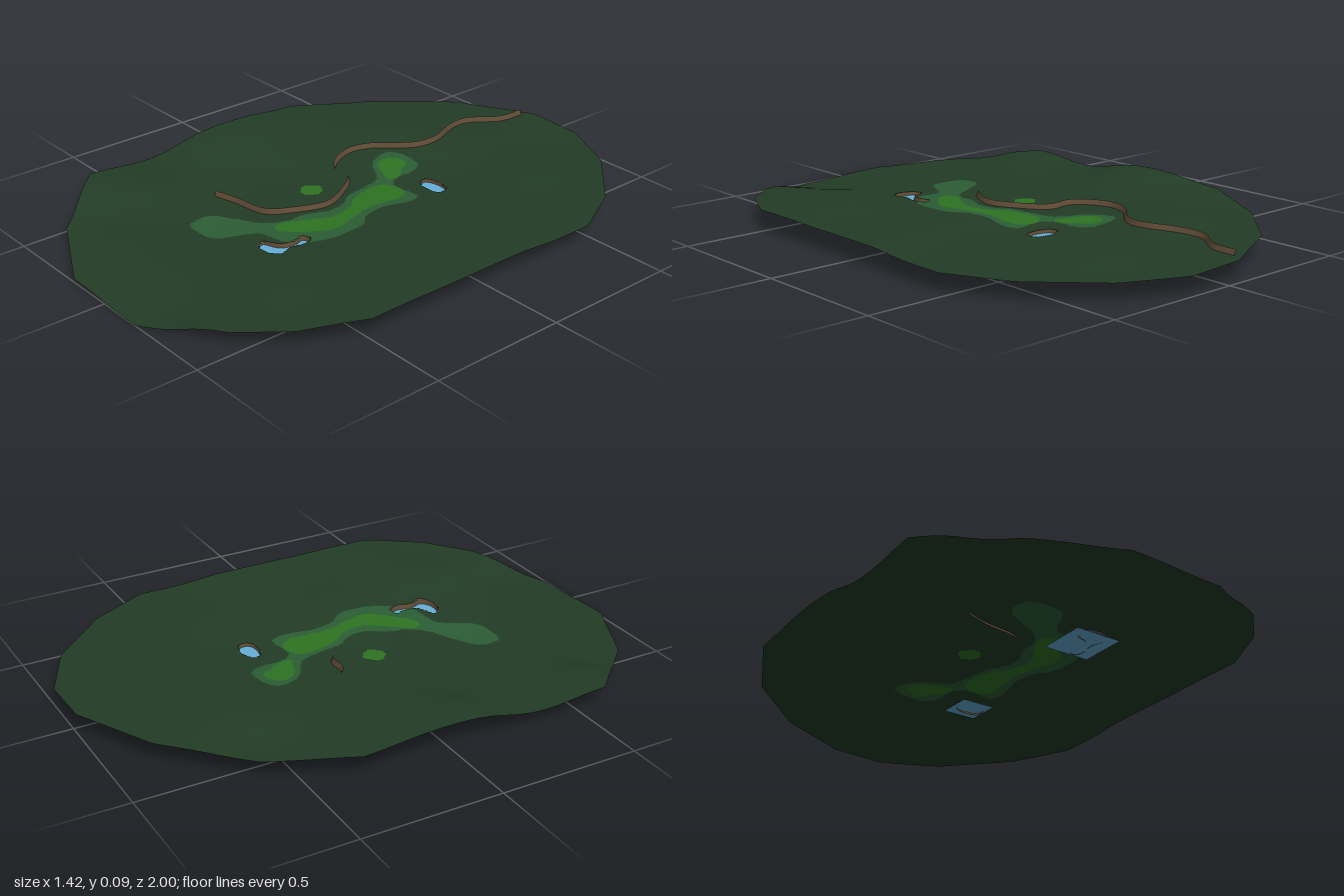
import * as THREE from 'three';

const material = (name, color, side = THREE.FrontSide) => {
  const m = new THREE.MeshStandardMaterial({ color, side });
  m.name = name;
  return m;
};

// Terrain outline: [z, x] chains down the left and right of the plan
const WEST = [[-1, -0.04], [-0.855, -0.325], [-0.61, -0.57], [-0.325, -0.715], [0.6, -0.715], [0.85, -0.47], [1, -0.18]];
const EAST = [[-1, 0.17], [-0.895, 0.39], [-0.68, 0.6], [-0.465, 0.71], [0.5, 0.71], [0.71, 0.6], [0.85, 0.46], [1, 0.17]];

// Control heights [x, z, y], blended smoothly
const HEIGHTS = [
  [-0.04, -1, 0.078], [0.17, -1, 0.066], [0.39, -0.895, 0.066], [0.6, -0.68, 0.065], [0.71, -0.465, 0.067],
  [0.71, 0, 0.08], [0.71, 0.5, 0.082], [0.6, 0.71, 0.068], [0.46, 0.85, 0.05], [0.17, 1, 0], [-0.18, 1, 0.015],
  [-0.47, 0.85, 0.032], [-0.715, 0.6, 0.073], [-0.715, 0.33, 0.045], [-0.715, 0.08, 0.1], [-0.715, -0.06, 0.1],
  [-0.715, -0.325, 0.075], [-0.57, -0.61, 0.065], [-0.325, -0.855, 0.075],
  [-0.17, -0.7, 0.07], [-0.2, -0.5, 0.085], [0.2, -0.6, 0.07], [0.45, -0.35, 0.065], [-0.25, -0.2, 0.066],
  [-0.08, -0.3, 0.055], [0.13, -0.3, 0.05], [0.1, 0, 0.062], [-0.12, 0.06, 0.055], [-0.45, -0.15, 0.075],
  [-0.45, 0.3, 0.055], [-0.3, 0.33, 0.045], [-0.15, 0.47, 0.04], [0.13, 0.42, 0.052], [0.33, 0.5, 0.078],
  [0.4, 0.1, 0.07], [0.1, 0.72, 0.035], [-0.25, 0.7, 0.035],
];

const SEMI_ROUGH = [[-0.17, -0.34], [-0.13, -0.37], [-0.03, -0.37], [0, -0.31], [0, -0.24], [0.04, -0.19], [0.15, -0.2],
  [0.17, -0.15], [0.15, -0.05], [0.16, 0.04], [0.21, 0.11], [0.21, 0.24], [0.17, 0.32], [0.12, 0.37], [0.01, 0.39],
  [-0.03, 0.45], [-0.08, 0.525], [-0.2, 0.525], [-0.22, 0.48], [-0.21, 0.43], [-0.13, 0.38], [-0.05, 0.335],
  [0, 0.27], [0.01, 0.2], [0.05, 0.11], [0.03, 0.03], [0, -0.01], [-0.01, -0.08], [-0.04, -0.18], [-0.14, -0.245]];
const FAIRWAY = [[0.01, -0.16], [0.08, -0.19], [0.125, -0.16], [0.12, 0], [0.15, 0.11], [0.165, 0.19], [0.09, 0.29],
  [0.03, 0.335], [0, 0.3], [0.055, 0.2], [0.09, 0.13], [0.07, 0.04], [0.03, -0.01]];
const GREEN = [[-0.14, -0.3], [-0.11, -0.34], [-0.06, -0.34], [-0.04, -0.3], [0, -0.245], [-0.01, -0.21],
  [-0.065, -0.225], [-0.12, -0.255]];
const TEE = [[-0.163, 0.06], [-0.12, 0.017], [-0.077, 0.06], [-0.12, 0.103]];
const SMALL_POND = [[0.07, -0.31], [0.11, -0.33], [0.175, -0.32], [0.18, -0.28], [0.14, -0.265], [0.08, -0.28]];
const LARGE_POND = [[0.125, 0.3], [0.16, 0.29], [0.175, 0.33], [0.165, 0.38], [0.18, 0.43], [0.145, 0.457],
  [0.08, 0.45], [0.065, 0.42], [0.12, 0.39], [0.135, 0.345]];
const CREEK = [[-0.08, -0.955], [-0.09, -0.86], [-0.165, -0.75], [-0.165, -0.67], [-0.115, -0.53], [-0.13, -0.45],
  [-0.245, -0.31], [-0.26, -0.22], [-0.19, -0.1], [-0.1, -0.09], [-0.035, -0.01], [0.01, 0.1], [-0.05, 0.23],
  [-0.1, 0.28], [-0.235, 0.305], [-0.32, 0.33]];

function height(x, z) {
  let sum = 0, total = 0;
  for (const [cx, cz, y] of HEIGHTS) {
    const w = Math.exp(-((x - cx) ** 2 + (z - cz) ** 2) / 0.03);
    sum += w * y;
    total += w;
  }
  return sum / total;
}

function edgeX(chain, z) {
  let i = 0;
  while (i < chain.length - 2 && z > chain[i + 1][0]) i++;
  const [z0, x0] = chain[i], [z1, x1] = chain[i + 1];
  return x0 + (x1 - x0) * (z - z0) / (z1 - z0);
}

// Smooth curve through plan points, returned as Vector2 (x, z)
function smooth(points, closed, count) {
  const curve = new THREE.CatmullRomCurve3(points.map(([x, z]) => new THREE.Vector3(x, 0, z)), closed);
  return curve.getPoints(count).map(p => new THREE.Vector2(p.x, p.z));
}

function inside(x, z, loop) {
  let hit = false;
  for (let i = 0, j = loop.length - 1; i < loop.length; j = i++) {
    const a = loop[i], b = loop[j];
    if ((a.y > z) !== (b.y > z) && x < (b.x - a.x) * (z - a.y) / (b.y - a.y) + a.x) hit = !hit;
  }
  return hit;
}

// Earth face following a path, facing the left of travel
function bank(path, rise, drop, lean) {
  const pos = [], index = [];
  path.forEach((p, i) => {
    const d = path[Math.min(i + 1, path.length - 1)].clone().sub(path[Math.max(i - 1, 0)]).normalize();
    const y = height(p.x, p.y);
    pos.push(p.x, y + rise, p.y, p.x + d.y * lean, y - drop, p.y - d.x * lean);
    if (i) {
      const a = 2 * i - 2;
      index.push(a, a + 2, a + 1, a + 1, a + 2, a + 3);
    }
  });
  const g = new THREE.BufferGeometry();
  g.setAttribute('position', new THREE.Float32BufferAttribute(pos, 3));
  g.setIndex(index);
  g.computeVertexNormals();
  return g;
}

// Rolling ground, each cell sorted into a turf group and pond cells left open
function groundGeometry(regions, ponds) {
  const rows = 240, cols = 170, pos = [];
  for (let i = 0; i <= rows; i++) {
    const z = -1 + 2 * i / rows, x0 = edgeX(WEST, z), x1 = edgeX(EAST, z);
    for (let j = 0; j <= cols; j++) {
      const x = x0 + (x1 - x0) * j / cols;
      pos.push(x, height(x, z), z);
    }
  }
  const lists = [[], [], []];
  for (let i = 0; i < rows; i++) {
    for (let j = 0; j < cols; j++) {
      const a = i * (cols + 1) + j, b = a + 1, c = a + cols + 1, d = c + 1;
      for (const tri of [[a, c, b], [b, c, d]]) {
        const x = (pos[tri[0] * 3] + pos[tri[1] * 3] + pos[tri[2] * 3]) / 3;
        const z = (pos[tri[0] * 3 + 2] + pos[tri[1] * 3 + 2] + pos[tri[2] * 3 + 2]) / 3;
        if (ponds.some(p => inside(x, z, p))) continue;
        const region = regions.find(r => inside(x, z, r.loop));
        lists[region ? region.group : 0].push(...tri);
      }
    }
  }
  const g = new THREE.BufferGeometry();
  g.setAttribute('position', new THREE.Float32BufferAttribute(pos, 3));
  g.setIndex(lists.flat());
  let start = 0;
  lists.forEach((list, k) => {
    g.addGroup(start, list.length, k);
    start += list.length;
  });
  g.computeVertexNormals();
  return g;
}

export function createModel() {
  const group = new THREE.Group();
  const turf = [
    material('rough grass', 0x233d26, THREE.DoubleSide),
    material('semi rough grass', 0x2b5e35, THREE.DoubleSide),
    material('short grass', 0x2e7423, THREE.DoubleSide),
  ];
  const earth = material('earth', 0x5c4834);
  const water = material('water', 0x66b0d8, THREE.DoubleSide);
  const add = (name, geometry, mat) => {
    const mesh = new THREE.Mesh(geometry, mat);
    mesh.name = name;
    group.add(mesh);
    return mesh;
  };

  const regions = [FAIRWAY, GREEN, TEE].map(p => ({ loop: smooth(p, true, 60), group: 2 }));
  regions.push({ loop: smooth(SEMI_ROUGH, true, 120), group: 1 });
  const ponds = [
    { name: 'smallPond', loop: smooth(SMALL_POND, true, 60), x: 0.125, z: -0.3, size: 0.13 },
    { name: 'largePond', loop: smooth(LARGE_POND, true, 80), x: 0.125, z: 0.375, size: 0.18 },
  ];
  add('ground', groundGeometry(regions, ponds.map(p => p.loop)), turf);

  // Square water sheets lying below the open ponds, with earth banks
  for (const p of ponds) {
    const sheet = add(p.name + 'Water', new THREE.PlaneGeometry(p.size, p.size).rotateX(-Math.PI / 2), water);
    const low = Math.min(...p.loop.map(v => height(v.x, v.y)));
    sheet.position.set(p.x, low - 0.01, p.z);
    add(p.name + 'Bank', bank([...p.loop].reverse(), 0.001, 0.018, 0.007), earth);
  }

  // Winding creek bank
  add('creekBank', bank(smooth(CREEK, false, 140), 0.018, 0.01, 0.014), earth);
  return group;
}
